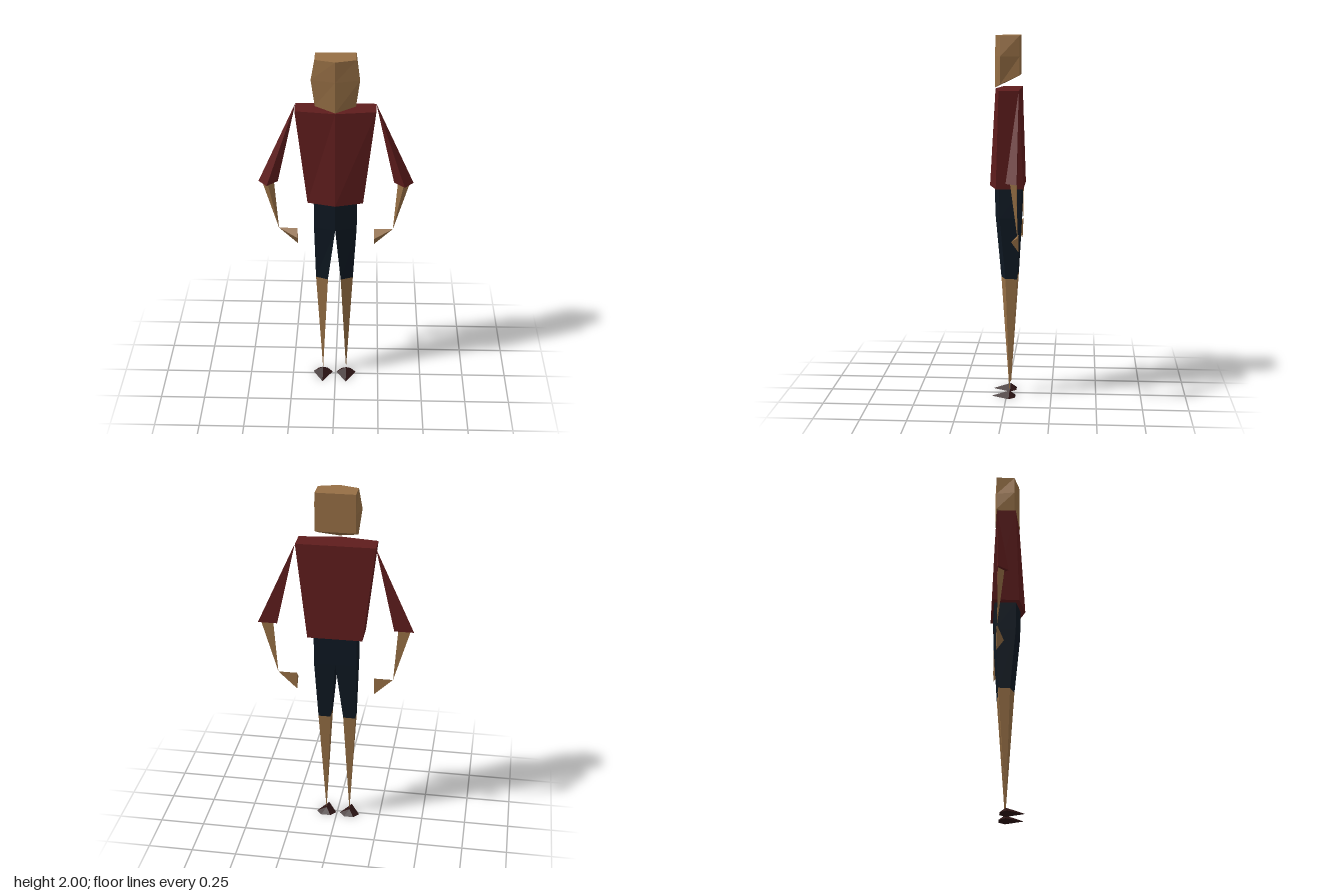
import * as THREE from 'three';

const material = (color) => new THREE.MeshStandardMaterial({ color, flatShading: true });

// Skin a stack of equal-sized rings (counter-clockwise seen from the last ring's side) and cap both ends.
// A ring with a single point is a tip.
function loft(name, mat, rings) {
  const n = Math.max(...rings.map((r) => r.length));
  const full = rings.map((r) => (r.length === 1 ? Array(n).fill(r[0]) : r));
  const pos = [];
  const tri = (a, b, c) => {
    if (a !== b && b !== c && c !== a) pos.push(...a, ...b, ...c);
  };
  for (let i = 0; i < full.length - 1; i++) {
    const lo = full[i], hi = full[i + 1];
    for (let j = 0; j < n; j++) {
      const k = (j + 1) % n;
      tri(lo[j], lo[k], hi[k]);
      tri(lo[j], hi[k], hi[j]);
    }
  }
  const first = full[0], last = full[full.length - 1];
  for (let j = 1; j < n - 1; j++) {
    tri(first[0], first[j + 1], first[j]);
    tri(last[0], last[j], last[j + 1]);
  }
  const geo = new THREE.BufferGeometry();
  geo.setAttribute('position', new THREE.Float32BufferAttribute(pos, 3));
  geo.computeVertexNormals();
  const mesh = new THREE.Mesh(geo, mat);
  mesh.name = name;
  return mesh;
}

// Body section: front ridge, front corners, flat back; each point as [y, z], with half widths.
const section = (ridge, front, frontW, back, backW) => [
  [0, ...ridge], [frontW, ...front], [backW, ...back], [-backW, ...back], [-frontW, ...front],
];

// Horizontal ring from [x, z] pairs.
const flat = (y, ...pts) => pts.map(([x, z]) => [x, y, z]);

export function createModel() {
  const group = new THREE.Group();
  const skin = material(0x966f45);
  const shirt = material(0x5e1c1c);
  const navy = material(0x0e1822);
  const leather = material(0x2c1414);

  group.add(loft('head', skin, [
    section([1.72, 0.065], [1.745, 0.03], 0.107, [1.79, -0.073], 0.107),
    section([1.89, 0.065], [1.89, 0.03], 0.127, [1.89, -0.073], 0.107),
    section([2, 0.063], [2, 0.03], 0.107, [2, -0.073], 0.107),
  ]));

  group.add(loft('shirtBody', shirt, [
    section([1.185, 0.094], [1.185, 0.052], 0.15, [1.185, -0.096], 0.15),
    section([1.715, 0.063], [1.715, 0.032], 0.213, [1.715, -0.074], 0.213),
  ]));

  // Limbs are described on the +x side and mirrored; the legs stand slightly off centre.
  for (const side of [1, -1]) {
    const label = side > 0 ? 'left' : 'right';
    const add = (name, mat, rings) => {
      const placed = rings.map((ring) => {
        const r = ring.map(([x, y, z]) => [side * x - (y < 0.7 ? 0.006 : 0), y, z]);
        return side > 0 ? r : r.reverse();
      });
      group.add(loft(label + name, mat, placed));
    };

    // Arm: sleeve widening from the shoulder, forearm narrowing to the wrist, wedge hand
    add('Sleeve', shirt, [
      flat(1.247, [0.375, -0.015], [0.424, -0.075], [0.318, -0.075]),
      flat(1.715, [0.213, -0.074]),
    ]);
    add('Forearm', skin, [
      flat(0.952, [0.318, -0.074]),
      flat(1.248, [0.37, -0.038], [0.405, -0.073], [0.339, -0.073]),
    ]);
    add('Hand', skin, [
      [[0.214, 0.952, -0.075], [0.214, 0.91, -0.034], [0.214, 0.853, -0.075]],
      [[0.318, 0.952, -0.075]],
    ]);

    // Leg: half of the shorts, tapering calf, pointed shoe
    const knee = flat(0.68, [0.036, 0.03], [0.104, 0.003], [0.104, -0.06], [0.036, -0.06]);
    add('ShortsLeg', navy, [
      knee,
      flat(1.02, [0, 0.064], [0.117, 0.034], [0.117, -0.079], [0, -0.079]),
      flat(1.187, [0, 0.068], [0.117, 0.037], [0.117, -0.083], [0, -0.083]),
    ]);
    add('Calf', skin, [flat(0.025, [0.068, -0.017]), knee]);
    add('Shoe', leather, [
      flat(0, [0.068, 0.083], [0.125, -0.015], [0.095, -0.05], [0.041, -0.05], [0.011, -0.015]),
      flat(0.032, [0.068, -0.017]),
    ]);
  }
  return group;
}
